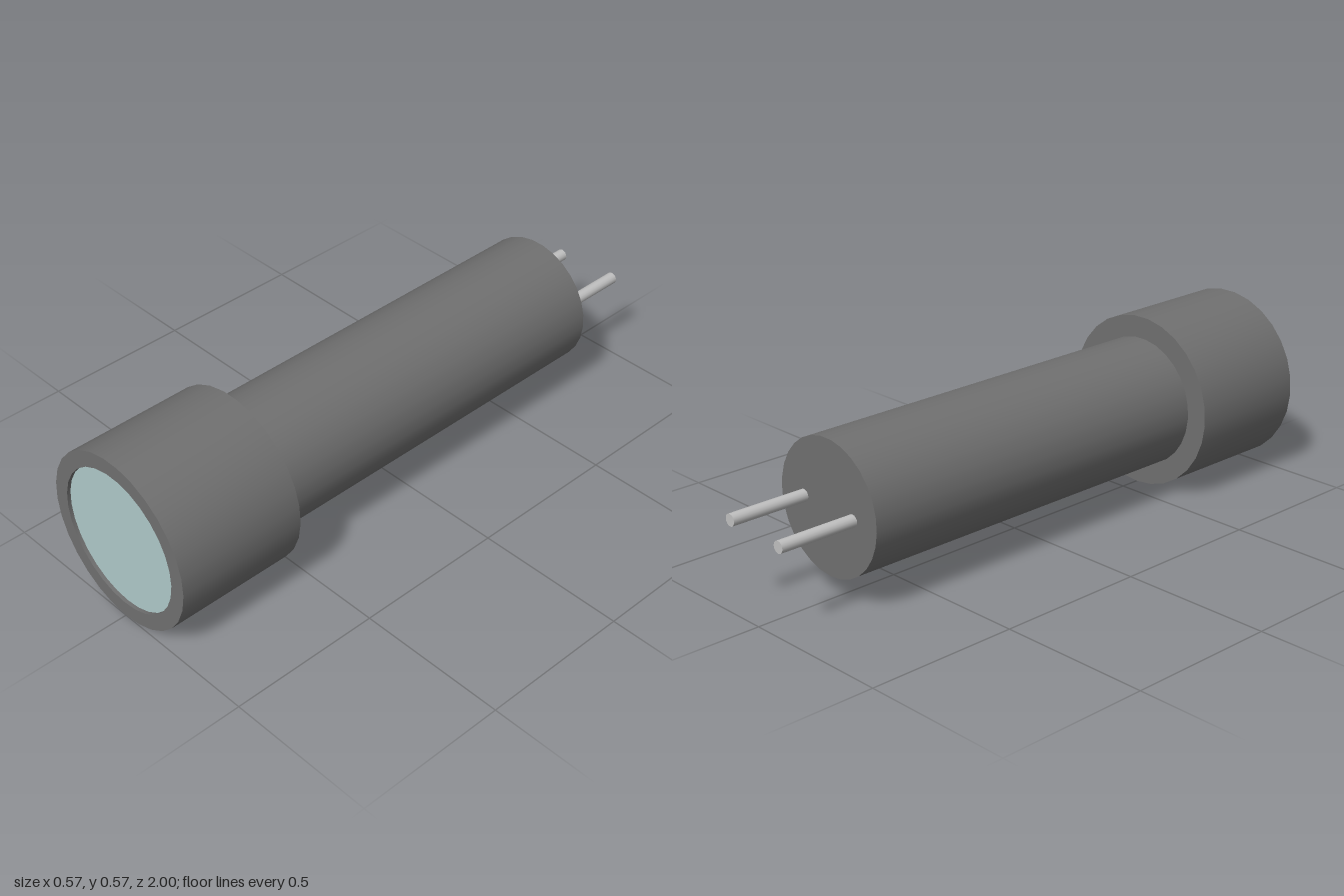
import * as THREE from 'three';
import { toCreasedNormals } from 'three/addons/utils/BufferGeometryUtils.js';

const SIDES = 29;
const CENTER_Y = 0.287;

const material = (name, color) => new THREE.MeshStandardMaterial({ name, color });

export function createModel() {
  const model = new THREE.Group();
  model.name = 'sensor';
  const casing = material('casingGrey', 0x707070);
  const glass = material('paleGlass', 0xafcaca);
  const metal = material('pinMetal', 0xc0c0c0);

  const add = (name, geometry, mat, x, y, z) => {
    const mesh = new THREE.Mesh(geometry, mat);
    mesh.name = name;
    mesh.position.set(x, y, z);
    model.add(mesh);
  };

  // Cylinder lying along z between two z positions
  const rod = (name, radius, sides, z0, z1, mat, x = 0, y = CENTER_Y) => {
    const geometry = new THREE.CylinderGeometry(radius, radius, z1 - z0, sides);
    add(name, geometry.rotateX(Math.PI / 2), mat, x, y, (z0 + z1) / 2);
  };

  // Long body
  rod('body', 0.215, SIDES, -0.737, 0.57, casing);

  // Wider head: shoulder, outer wall, front rim and shallow recess
  const profile = [[0.2, 0.567], [0.287, 0.567], [0.287, 1], [0.235, 1], [0.235, 0.988]]
    .map(([r, z]) => new THREE.Vector2(r, z));
  const head = toCreasedNormals(new THREE.LatheGeometry(profile, SIDES), 0.6);
  add('head', head.rotateX(Math.PI / 2), casing, 0, CENTER_Y, 0);

  // Window closing the recess
  const lens = new THREE.CircleGeometry(0.235, SIDES, -Math.PI / 2);
  add('lens', lens, glass, 0, CENTER_Y, 0.988);

  // Two contact pins on a slightly tilted line
  for (const side of [-1, 1]) {
    rod(side > 0 ? 'leftPin' : 'rightPin', 0.0195, 16, -1, -0.73, metal, side * 0.11, CENTER_Y + side * 0.006);
  }
  return model;
}
